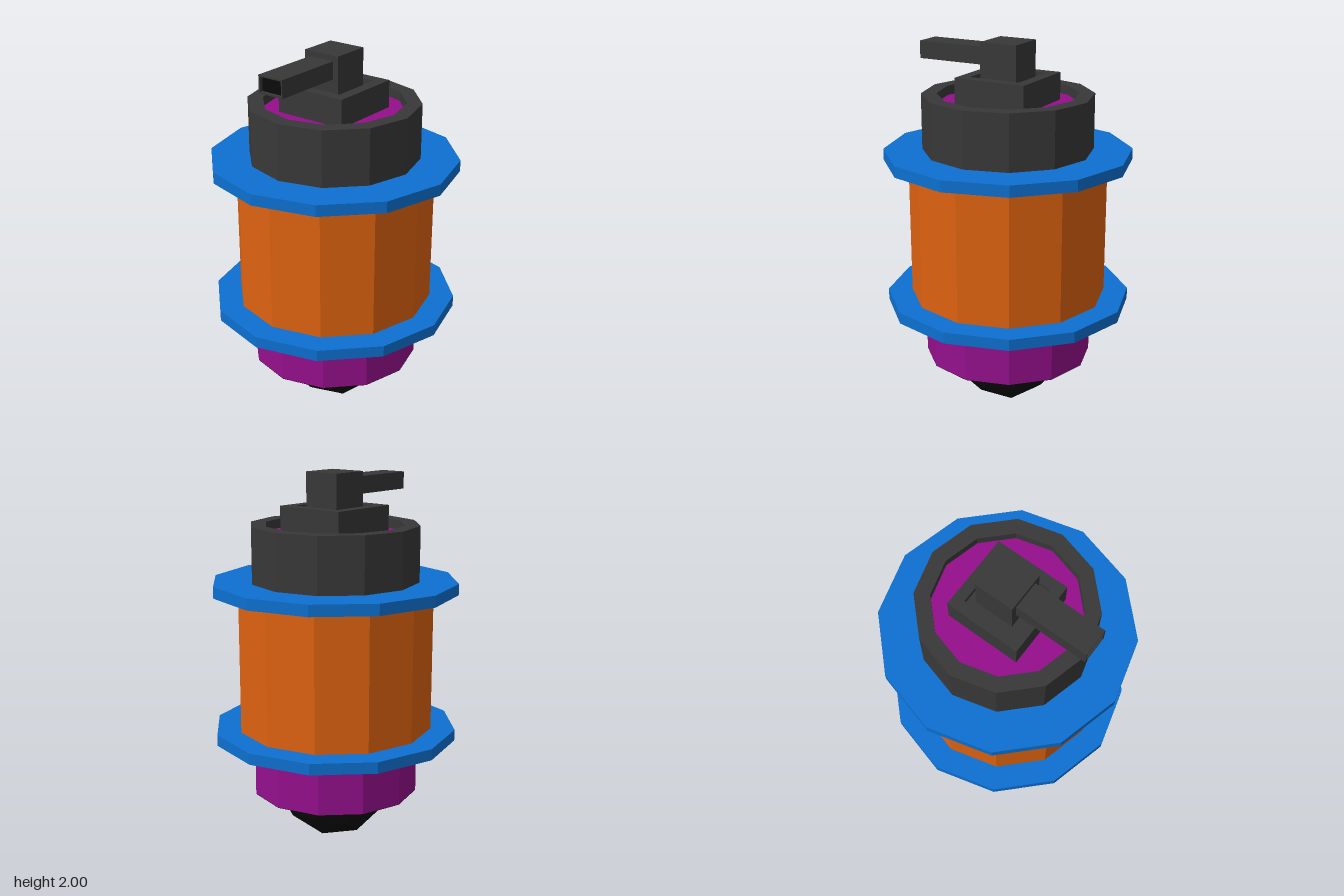
import * as THREE from 'three';

const SIDES = 12;
const mat = (color) => new THREE.MeshStandardMaterial({ color, flatShading: true });

export function createModel() {
  const group = new THREE.Group();
  const blue = mat(0x0d70d0), orange = mat(0xdd6210), purple = mat(0x940f8c);
  const grey = mat(0x383838), black = mat(0x0a0a0a);

  const add = (name, geometry, material, x = 0, y = 0, z = 0) => {
    const mesh = new THREE.Mesh(geometry, material);
    mesh.name = name;
    mesh.position.set(x, y, z);
    group.add(mesh);
    return mesh;
  };
  // Twelve-sided drum between two heights
  const drum = (name, r, y0, y1, material) =>
    add(name, new THREE.CylinderGeometry(r, r, y1 - y0, SIDES), material, 0, (y0 + y1) / 2);
  // Rectangle with a rectangular opening, extruded along +z
  const frame = (w, h, innerW, innerH, depth) => {
    const rect = (path, a, b) => path.moveTo(-a, -b).lineTo(a, -b).lineTo(a, b).lineTo(-a, b).closePath();
    const shape = rect(new THREE.Shape(), w / 2, h / 2);
    shape.holes.push(rect(new THREE.Path(), innerW / 2, innerH / 2));
    return new THREE.ExtrudeGeometry(shape, { depth, bevelEnabled: false });
  };

  // Stacked body
  drum('lowerCollar', 0.45, 0.282, 0.58, purple);
  drum('lowerFlange', 0.655, 0.58, 0.64, blue);
  drum('barrel', 0.525, 0.64, 1.375, orange);
  drum('upperFlange', 0.655, 1.375, 1.435, blue);

  // Dark underside and faceted nose, one vertex pointing straight down
  drum('undersidePlate', 0.45, 0.28, 0.282, black);
  const nose = new THREE.IcosahedronGeometry(0.312, 1);
  nose.rotateZ(-Math.atan(2 / (1 + Math.sqrt(5))));
  add('nose', nose, black, 0.003, 0.315);

  // Cap with a raised rim around a sunken coloured disc
  const rim = [[0.37, 1.435], [0.45, 1.435], [0.45, 1.73], [0.37, 1.73], [0.37, 1.435]];
  add('capRim', new THREE.LatheGeometry(rim.map(([r, y]) => new THREE.Vector2(r, y)), SIDES), grey);
  drum('capDisc', 0.372, 1.435, 1.68, purple);

  // Square socket, open at the top, holding the post
  const socket = frame(0.4, 0.4, 0.285, 0.285, 0.145);
  socket.rotateX(-Math.PI / 2);
  add('socketFrame', socket, grey, 0, 1.68);
  add('socketFloor', new THREE.BoxGeometry(0.285, 0.115, 0.285), grey, 0, 1.7375);
  add('post', new THREE.BoxGeometry(0.208, 0.205, 0.208), grey, 0, 1.8975);

  // Handle reaching forward, with a dark recessed end
  add('handle', frame(0.146, 0.092, 0.13, 0.076, 0.39), grey, 0, 1.925, 0.1);
  add('handleCore', new THREE.BoxGeometry(0.13, 0.076, 0.37), black, 0, 1.925, 0.285);

  return group;
}
